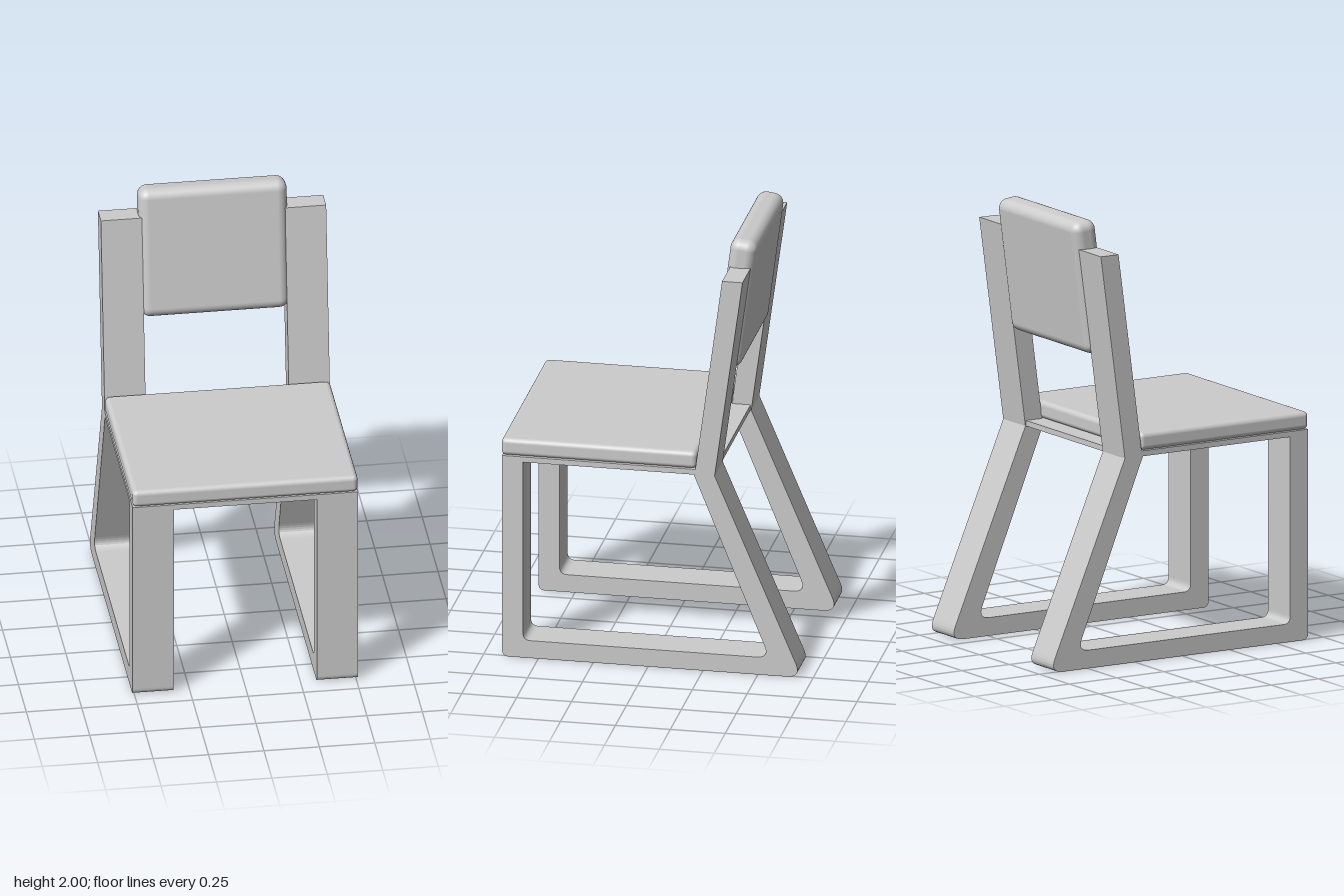
import * as THREE from 'three';
import { RoundedBoxGeometry } from 'three/addons/geometries/RoundedBoxGeometry.js';

// Trace a closed outline of [x, y, cornerRadius] points with rounded corners.
function trace(path, pts) {
  const n = pts.length;
  pts.forEach(([x, y, r = 0], i) => {
    const here = new THREE.Vector2(x, y);
    const toward = (p) => new THREE.Vector2(p[0], p[1]).sub(here).setLength(r).add(here);
    const a = toward(pts[(i + n - 1) % n]);
    const b = toward(pts[(i + 1) % n]);
    if (i === 0) path.moveTo(a.x, a.y);
    else path.lineTo(a.x, a.y);
    if (r > 0) path.quadraticCurveTo(x, y, b.x, b.y);
  });
  path.closePath();
  return path;
}

export function createModel() {
  const group = new THREE.Group();
  const grey = new THREE.MeshStandardMaterial({ color: 0xcccccc });
  grey.name = 'lightGrey';

  const add = (name, geometry, x, y, z) => {
    const mesh = new THREE.Mesh(geometry, grey);
    mesh.name = name;
    mesh.position.set(x, y, z);
    group.add(mesh);
    return mesh;
  };

  // Side frames: front leg, floor runner, slanted back leg and upright in one loop.
  // Profile runs from front (negative) to back (positive).
  const profile = trace(new THREE.Shape(), [
    [-0.665, 0.96], [-0.665, 0, 0.03], [0.665 + 0.035, 0, 0.07],
    [0.303, 0.935], [0.43, 1.87], [0.337, 1.87], [0.215, 0.96],
  ]);
  profile.holes.push(trace(new THREE.Path(), [
    [-0.57, 0.935], [0.208, 0.935], [0.553, 0.083, 0.06], [-0.57, 0.083, 0.035],
  ]));
  const frameWidth = 0.185;
  const frame = new THREE.ExtrudeGeometry(profile, { depth: frameWidth, bevelEnabled: false, curveSegments: 8 });
  frame.rotateY(Math.PI / 2);
  add('leftSideFrame', frame, 0.323, 0, 0);
  add('rightSideFrame', frame, -0.323 - frameWidth, 0, 0);

  // Thin board joining the frames under the seat
  add('seatBoard', new THREE.BoxGeometry(0.66, 0.025, 0.965), 0, 0.9475, 0.1825);

  // Cushions
  add('seatCushion', new RoundedBoxGeometry(1.016, 0.08, 0.89, 4, 0.022), 0, 1.0, 0.225);
  const back = add('backrest', new RoundedBoxGeometry(0.67, 0.615, 0.122, 5, 0.045), 0, 1.69, -0.36);
  back.rotation.x = -0.13;

  return group;
}
